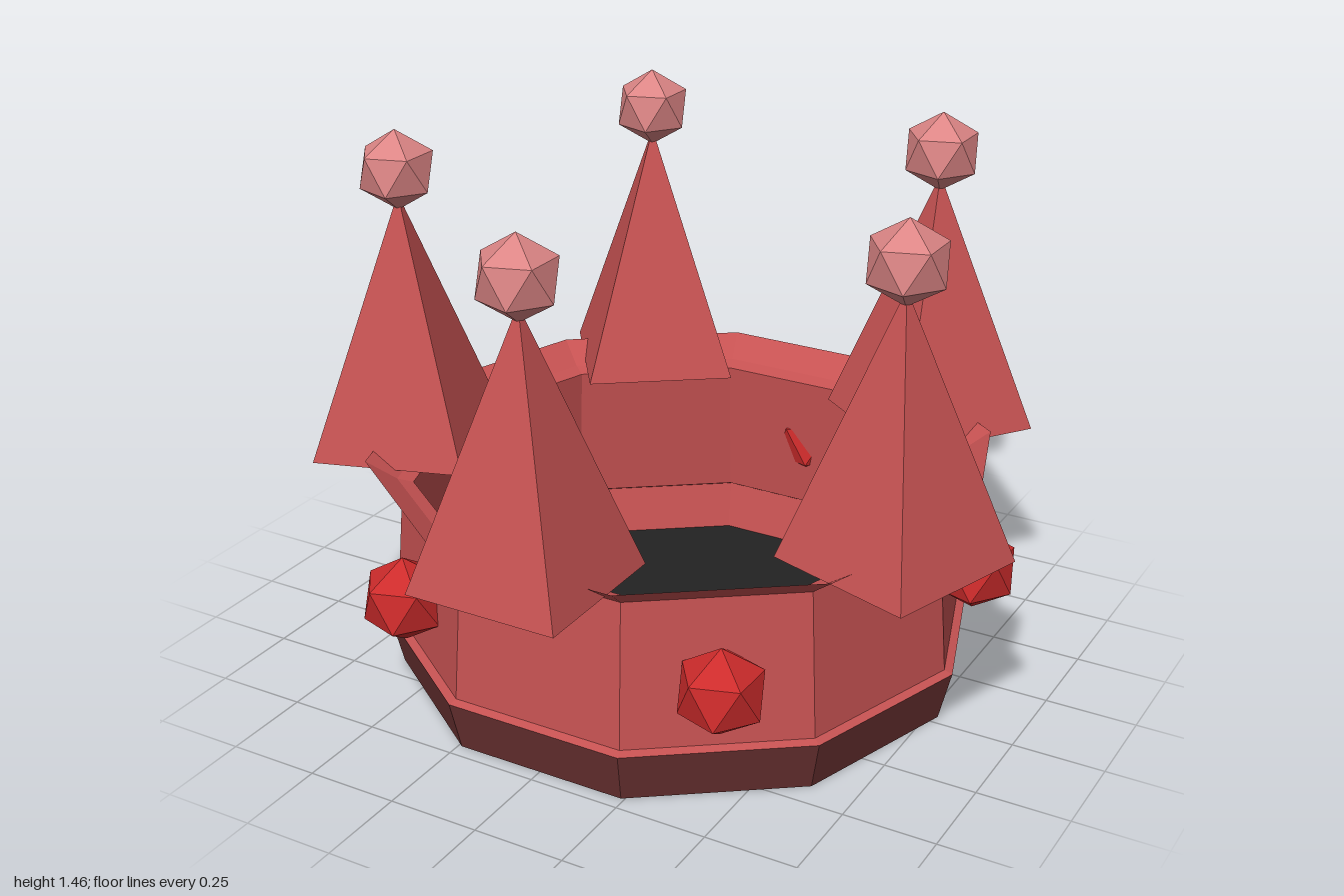
import * as THREE from 'three';

const SIDES = 10;
const CENTRE_Z = -0.03;

function makeMaterial(name, color, side = THREE.FrontSide) {
  const m = new THREE.MeshStandardMaterial({ color, flatShading: true, side });
  m.name = name;
  return m;
}

// Ten-sided ring with a flat face to the front, from [radius, y] pairs
function ringGeometry(profile) {
  const points = profile.map(([r, y]) => new THREE.Vector2(r, y));
  const geo = new THREE.LatheGeometry(points, SIDES, Math.PI / SIDES).toNonIndexed();
  geo.computeVertexNormals();
  return geo;
}

// Twenty-sided ball standing on a corner
function ballGeometry(radius) {
  const t = (1 + Math.sqrt(5)) / 2;
  return new THREE.IcosahedronGeometry(radius, 0).rotateZ(Math.atan(1 / t));
}

export function createModel() {
  const crownRed = makeMaterial('crownRed', 0xc65252);
  const baseRed = makeMaterial('darkBaseRed', 0x6a3131);
  const gemRed = makeMaterial('gemRed', 0xcc2b2b);
  const ballPink = makeMaterial('ballPink', 0xdc8585);
  const floorBlack = makeMaterial('floorBlack', 0x222222, THREE.DoubleSide);

  const crown = new THREE.Group();
  crown.name = 'crown';
  const add = (name, geo, mat, parent = crown) => {
    const mesh = new THREE.Mesh(geo, mat);
    mesh.name = name;
    parent.add(mesh);
    return mesh;
  };

  // Outer face of the base band
  add('baseBand', ringGeometry([[0.778, 0], [0.812, 0.14]]), baseRed);

  // Wall, flared rim, inner faces and bottom edge
  add('wallAndRim', ringGeometry([
    [0.812, 0.14], [0.789, 0.148], [0.757, 0.545], [0.852, 0.615],
    [0.77, 0.56], [0.727, 0.548], [0.757, 0.148], [0.772, 0.14],
    [0.735, 0], [0.778, 0],
  ]), crownRed);

  // Dark floor
  const floor = add('floor', new THREE.CircleGeometry(0.74, SIDES).rotateX(-Math.PI / 2), floorBlack);
  floor.position.y = 0.008;

  // Spikes with balls on every second face, gems on the faces between
  const spikeGeo = new THREE.ConeGeometry(0.21 * Math.SQRT2, 0.71, 4).rotateY(Math.PI / 4).toNonIndexed();
  spikeGeo.computeVertexNormals();
  const tipGeo = ballGeometry(0.11);
  const gemGeo = ballGeometry(0.12);
  for (let i = 0; i < 5; i++) {
    const a = (i * 2 * Math.PI) / 5;
    const spike = add('spike', spikeGeo, crownRed);
    spike.position.set(0.77 * Math.sin(a), 0.57 + 0.355, 0.77 * Math.cos(a));
    spike.rotation.y = a;

    const tip = add('spikeBall', tipGeo, ballPink);
    tip.position.set(0.77 * Math.sin(a), 1.346, 0.77 * Math.cos(a));

    const b = a + Math.PI / 5;
    const gem = add('gem', gemGeo, gemRed);
    gem.position.set(0.8 * Math.sin(b), 0.33, 0.8 * Math.cos(b));
  }

  crown.position.z = CENTRE_Z;
  const model = new THREE.Group();
  model.name = 'model';
  model.add(crown);
  return model;
}
